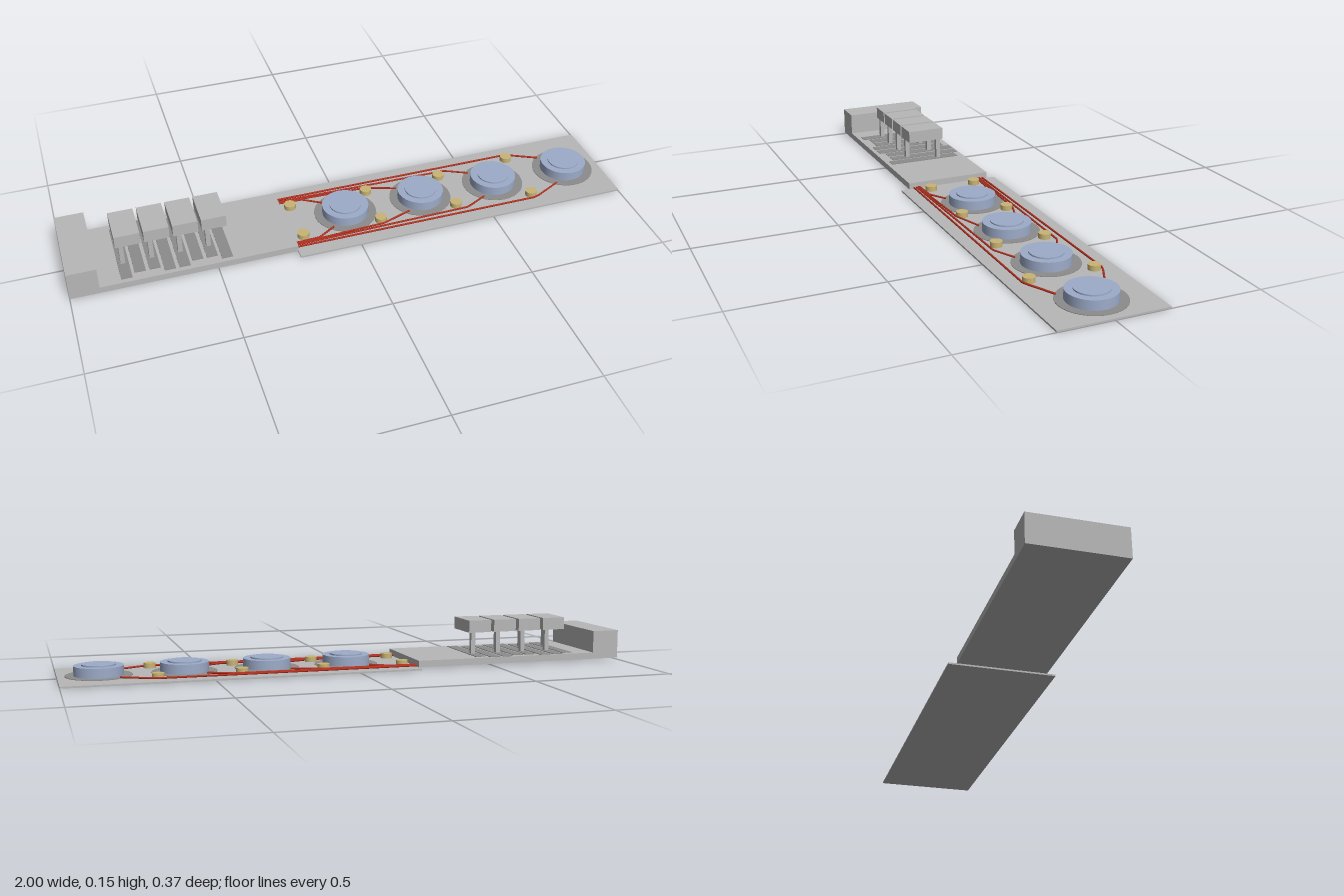
import * as THREE from 'three';

export function createModel() {
  const root = new THREE.Group();
  const mat = (name, color) => {
    const m = new THREE.MeshStandardMaterial({ color });
    m.name = name;
    return m;
  };
  const grey = mat('light grey', 0xb8b8b8);
  const dark = mat('dark grey', 0x8c8c8c);
  const blue = mat('soft blue', 0x9dacc9);
  const brass = mat('brass', 0xc8b475);
  const red = mat('wire red', 0xb5301f);

  const add = (name, geometry, material) => {
    const mesh = new THREE.Mesh(geometry, material);
    mesh.name = name;
    root.add(mesh);
    return mesh;
  };
  // Box given by its minimum and maximum on each axis
  const box = (name, material, x0, x1, y0, y1, z0, z1) =>
    add(name, new THREE.BoxGeometry(x1 - x0, y1 - y0, z1 - z0), material)
      .position.set((x0 + x1) / 2, (y0 + y1) / 2, (z0 + z1) / 2);
  // Upright cylinder from y0 to y1
  const disc = (name, material, x, z, r, y0, y1, sides = 32) =>
    add(name, new THREE.CylinderGeometry(r, r, y1 - y0, sides), material)
      .position.set(x, (y0 + y1) / 2, z);

  // Long base plate, raised board and end block
  box('basePlate', grey, -0.22, 1, 0, 0.006, -0.187, 0.187);
  box('board', grey, -1, -0.22, 0.006, 0.029, -0.157, 0.157);
  box('endBlock', grey, -1, -0.9, 0.029, 0.108, -0.157, 0.157);

  // Four raised blocks on diagonal legs, with flat contact strips below
  for (let i = 0; i < 4; i++) {
    const x = -0.783 + i * 0.098;
    box('raisedBlock', grey, x - 0.043, x + 0.043, 0.108, 0.152, -0.069, 0.069);
    for (const s of [-1, 1]) {
      const lx = x + s * 0.024, lz = -s * 0.055;
      box('leg', grey, lx - 0.008, lx + 0.008, 0.029, 0.108, lz - 0.008, lz + 0.008);
      const shift = (i % 2 ? -s : s) * -0.01;
      box('contactStrip', dark, lx - 0.019, lx + 0.019, 0.0285, 0.031, -0.142 + shift, 0.13 + shift);
    }
  }

  // Four round units on dark rings
  for (let i = 0; i < 4; i++) {
    const x = i * 0.2877;
    disc('ring', dark, x, 0, 0.112, 0.001, 0.008);
    disc('puck', blue, x, 0, 0.083, 0.008, 0.041);
    disc('puckCap', blue, x, 0, 0.057, 0.041, 0.046);
  }

  // Wire bends: x and z of the bend, then where it reaches its puck
  const wires = [
    [-0.13, 0.112, -0.065, 0.072, 0.116],
    [0.11, 0.108, 0.22, 0.07, 0.121],
    [0.43, 0.115, 0.51, 0.075, 0.127],
    [0.69, 0.138, 0.8, 0.083, 0.138],
  ];
  const studs = [[-0.182, 0.085], [0.106, 0.085], [0.393, 0.088], [0.68, 0.113]];
  for (const s of [-1, 1]) {
    for (const [x, z] of studs) disc('stud', brass, x, s * z, 0.021, 0.006, 0.024, 20);
    for (const [bx, bz, ex, ez, startZ] of wires) {
      const path = new THREE.CurvePath();
      const p = [[-0.22, startZ], [bx, bz], [ex, ez]]
        .map(([x, z]) => new THREE.Vector3(x, 0.01, s * z));
      path.add(new THREE.LineCurve3(p[0], p[1]));
      path.add(new THREE.LineCurve3(p[1], p[2]));
      add('wire', new THREE.TubeGeometry(path, 40, 0.0035, 6), red);
    }
  }
  return root;
}
